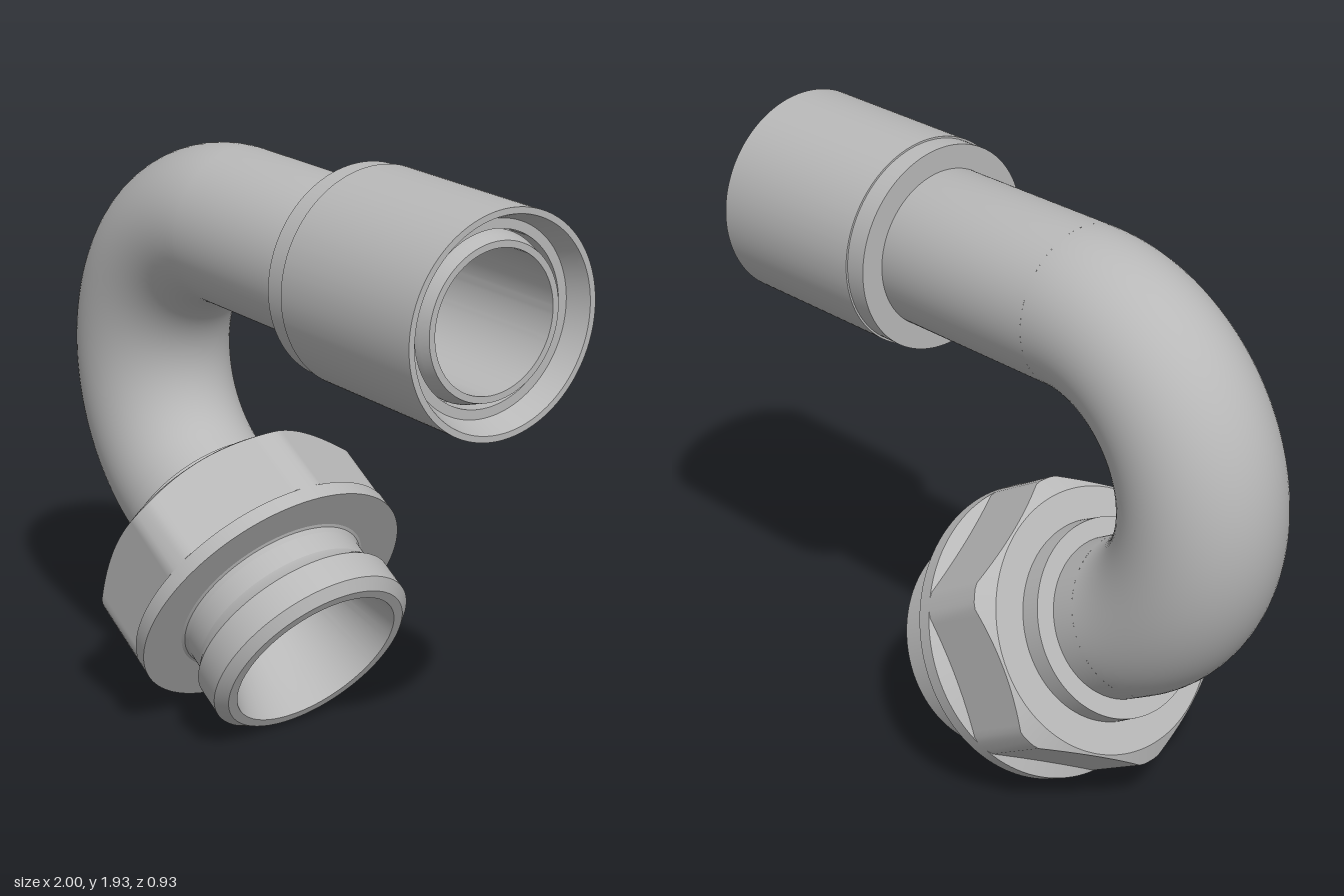
import * as THREE from 'three';
import { toCreasedNormals } from 'three/addons/utils/BufferGeometryUtils.js';

const SEG = 144;
const BEND = 0.5, TUBE = 0.25, BORE = 0.21;     // bend radius, tube outer and inner radius
const CX = -0.25, CY = 1.1;                     // centre of the bend
const HEX_FLAT = 0.42, HEX_CLIP = 0.466;        // hexagon half width, turned-down corner radius

// Radius of the nut outline at an angle round its axis, corners clipped round
function hexRadius(phi) {
  const step = Math.PI / 3;
  const a = phi - Math.round(phi / step) * step;
  return Math.min(HEX_FLAT / Math.cos(a), HEX_CLIP);
}

// Turned part from [radius, position along axis] pairs
function turned(name, profile, material) {
  const points = profile.map(([r, s]) => new THREE.Vector2(r, s));
  const mesh = new THREE.Mesh(toCreasedNormals(new THREE.LatheGeometry(points, SEG), 0.35), material);
  mesh.name = name;
  return mesh;
}

export function createModel() {
  const model = new THREE.Group();
  model.name = 'bentPipeFitting';
  const metal = new THREE.MeshStandardMaterial({ color: 0xb8b8b8, side: THREE.DoubleSide });
  metal.name = 'grey metal';

  // Bent section, outer skin and bore
  for (const [name, r] of [['pipeBend', TUBE], ['pipeBendBore', BORE]]) {
    const bend = new THREE.Mesh(new THREE.TorusGeometry(BEND, r, 64, 96, Math.PI * 5 / 6), metal);
    bend.name = name;
    bend.position.set(CX, CY, 0);
    bend.rotation.z = Math.PI / 2;
    model.add(bend);
  }

  // Straight arm along +x with its end sleeve
  const arm = new THREE.Group();
  arm.name = 'straightArm';
  arm.position.set(0, CY + BEND, 0);
  arm.rotation.z = -Math.PI / 2;
  arm.add(turned('straightPipe', [
    [TUBE, CX], [TUBE, 0.9], [0.24, 0.93], [0.23, 0.96], [BORE, 0.96], [BORE, CX],
  ], metal));
  arm.add(turned('endSleeve', [
    [TUBE, 0.35], [0.325, 0.35], [0.325, 0.42], [0.331, 0.42], [0.331, 1], [0.312, 1],
    [0.285, 0.93], [0.256, 0.93], [0.256, 0.85], [TUBE, 0.85],
  ], metal));
  model.add(arm);

  // Threaded end, starting where the bend stops and pointing down to +x
  const fitting = new THREE.Group();
  fitting.name = 'threadedEnd';
  fitting.position.set(CX - BEND / 2, CY - BEND * Math.sin(Math.PI / 3), 0);
  fitting.rotation.z = -Math.PI * 2 / 3;
  fitting.add(turned('collar', [
    [TUBE, 0], [TUBE, 0.09], [0.31, 0.09], [0.313, 0.16],
  ], metal));
  fitting.add(turned('spigot', [
    [0.335, 0.478], [0.321, 0.484], [0.315, 0.5], [0.315, 0.57], [0.322, 0.585], [0.35, 0.62],
    [0.35, 0.72], [0.316, 0.75], [0.285, 0.75], [BORE, 0.51], [BORE, 0],
  ], metal));

  // Hex nut: rows of a lathe reshaped so the chamfers cut the flats in curves
  const rows = 7;
  const nutGeometry = new THREE.LatheGeometry(
    Array.from({ length: rows }, (_, i) => new THREE.Vector2(0.3, i)), SEG);
  const pos = nutGeometry.attributes.position;
  for (let i = 0; i <= SEG; i++) {
    const phi = (i / SEG) * Math.PI * 2;
    const h = hexRadius(phi);
    const rear = 0.158 + (h - 0.413) * 0.7;
    const front = 0.41 + (h - HEX_FLAT) * 0.4;
    const section = [
      [0.3, 0.158], [0.413, 0.158], [h, rear], [h, front],
      [HEX_CLIP, 0.43], [HEX_CLIP, 0.48], [0.3, 0.48],
    ];
    section.forEach(([r, s], j) =>
      pos.setXYZ(i * rows + j, r * Math.sin(phi), s, r * Math.cos(phi)));
  }
  const nut = new THREE.Mesh(toCreasedNormals(nutGeometry, 0.35), metal);
  nut.name = 'hexNut';
  fitting.add(nut);
  model.add(fitting);

  return model;
}
